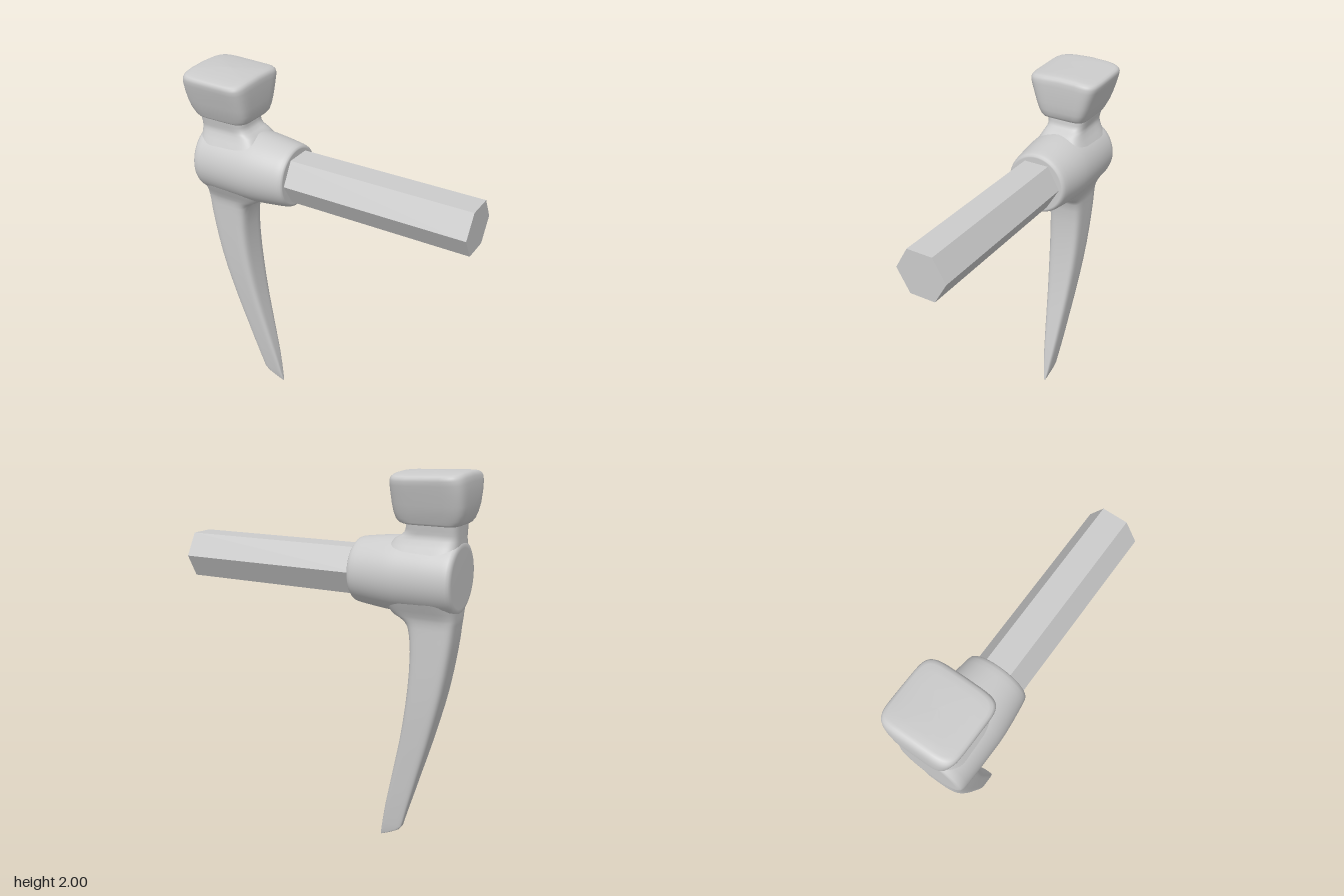
import * as THREE from 'three';

const material = new THREE.MeshStandardMaterial({ color: 0xcccccc });
const AXIS_Y = 1.483; // height of the handle axis

// Skin of rounded-rectangle sections stacked upwards.
// Each section: [y, back x, front x, half width in z]; n sets corner squareness.
function loft(sections, n, bend = (x, y) => y) {
  const sides = 64, positions = [], index = [];
  const round = v => Math.sign(v) * Math.abs(v) ** (2 / n);
  sections.forEach(([y, back, front, half], i) => {
    for (let j = 0; j < sides; j++) {
      const t = (j / sides) * Math.PI * 2;
      const x = (back + front) / 2 + round(Math.cos(t)) * (front - back) / 2;
      const z = round(Math.sin(t)) * half;
      positions.push(x, bend(x, y, z), z);
      if (i === 0) continue;
      const k = (j + 1) % sides, lo = (i - 1) * sides, hi = i * sides;
      index.push(lo + j, hi + j, lo + k, lo + k, hi + j, hi + k);
    }
  });
  const geometry = new THREE.BufferGeometry();
  geometry.setAttribute('position', new THREE.Float32BufferAttribute(positions, 3));
  geometry.setIndex(index);
  geometry.computeVertexNormals();
  return geometry;
}

export function createModel() {
  const group = new THREE.Group();
  const add = (name, geometry, mat = material) => {
    const mesh = new THREE.Mesh(geometry, mat);
    mesh.name = name;
    group.add(mesh);
    return mesh;
  };

  // Curved pick blade, flaring into the hub and narrowing again to the neck
  add('pickBlade', loft([
    [0.0, -0.354, -0.352, 0.001],
    [0.01, -0.375, -0.352, 0.006],
    [0.03, -0.415, -0.355, 0.011],
    [0.055, -0.458, -0.359, 0.016],
    [0.08, -0.478, -0.363, 0.02],
    [0.12, -0.489, -0.369, 0.025],
    [0.2, -0.511, -0.383, 0.035],
    [0.3, -0.54, -0.404, 0.045],
    [0.4, -0.568, -0.425, 0.054],
    [0.5, -0.597, -0.446, 0.063],
    [0.6, -0.625, -0.466, 0.071],
    [0.7, -0.651, -0.483, 0.079],
    [0.8, -0.676, -0.497, 0.086],
    [0.9, -0.698, -0.508, 0.091],
    [1.0, -0.716, -0.515, 0.095],
    [1.1, -0.731, -0.517, 0.098],
    [1.18, -0.741, -0.511, 0.1],
    [1.23, -0.745, -0.5, 0.101],
    [1.255, -0.748, -0.483, 0.103],
    [1.275, -0.75, -0.455, 0.107],
    [1.29, -0.75, -0.425, 0.112],
    [1.32, -0.751, -0.4, 0.126],
    [1.36, -0.752, -0.39, 0.149],
    [1.41, -0.752, -0.385, 0.172],
    [1.48, -0.752, -0.38, 0.184],
    [1.55, -0.752, -0.385, 0.174],
    [1.6, -0.752, -0.39, 0.15],
    [1.64, -0.751, -0.4, 0.125],
    [1.67, -0.75, -0.425, 0.111],
    [1.685, -0.75, -0.452, 0.107],
    [1.7, -0.75, -0.47, 0.106],
    [1.72, -0.75, -0.479, 0.111],
    [1.78, -0.75, -0.482, 0.12],
  ], 5));

  // Round socket around the handle, flat at both ends with softened rims
  const socketProfile = [
    [0, -0.755], [0.15, -0.755], [0.165, -0.754], [0.178, -0.748], [0.186, -0.735],
    [0.19, -0.71], [0.192, -0.6], [0.193, -0.46], [0.19, -0.4], [0.183, -0.33],
    [0.173, -0.25], [0.169, -0.225], [0.164, -0.21], [0.156, -0.203], [0.149, -0.202], [0, -0.202],
  ].map(([r, x]) => new THREE.Vector2(r, x));
  const socket = new THREE.LatheGeometry(socketProfile, 64);
  socket.rotateZ(-Math.PI / 2);
  add('handleSocket', socket).position.y = AXIS_Y;

  // Flared hammer block with a gently domed striking face
  const dome = (x, y, z) => {
    const k = THREE.MathUtils.smoothstep(y, 1.85, 1.98);
    return y - k * (0.45 * z * z + 0.03 * (x + 0.78));
  };
  add('hammerBlock', loft([
    [1.742, -0.6, -0.6, 0],
    [1.742, -0.745, -0.49, 0.113],
    [1.745, -0.755, -0.468, 0.12],
    [1.753, -0.766, -0.448, 0.125],
    [1.77, -0.778, -0.434, 0.132],
    [1.8, -0.788, -0.426, 0.146],
    [1.84, -0.795, -0.421, 0.16],
    [1.9, -0.797, -0.418, 0.177],
    [1.95, -0.795, -0.417, 0.189],
    [1.975, -0.79, -0.418, 0.194],
    [1.988, -0.783, -0.423, 0.193],
    [1.996, -0.773, -0.432, 0.187],
    [2.0, -0.757, -0.447, 0.175],
    [2.001, -0.72, -0.48, 0.135],
    [2.001, -0.66, -0.54, 0.07],
    [2.001, -0.6, -0.6, 0],
  ], 6, dome));

  // Six-sided handle
  const handle = new THREE.CylinderGeometry(0.138, 0.138, 1.1, 6);
  handle.rotateZ(-Math.PI / 2);
  const flat = material.clone();
  flat.flatShading = true;
  add('handle', handle, flat).position.set(0.25, AXIS_Y, 0);

  return group;
}
